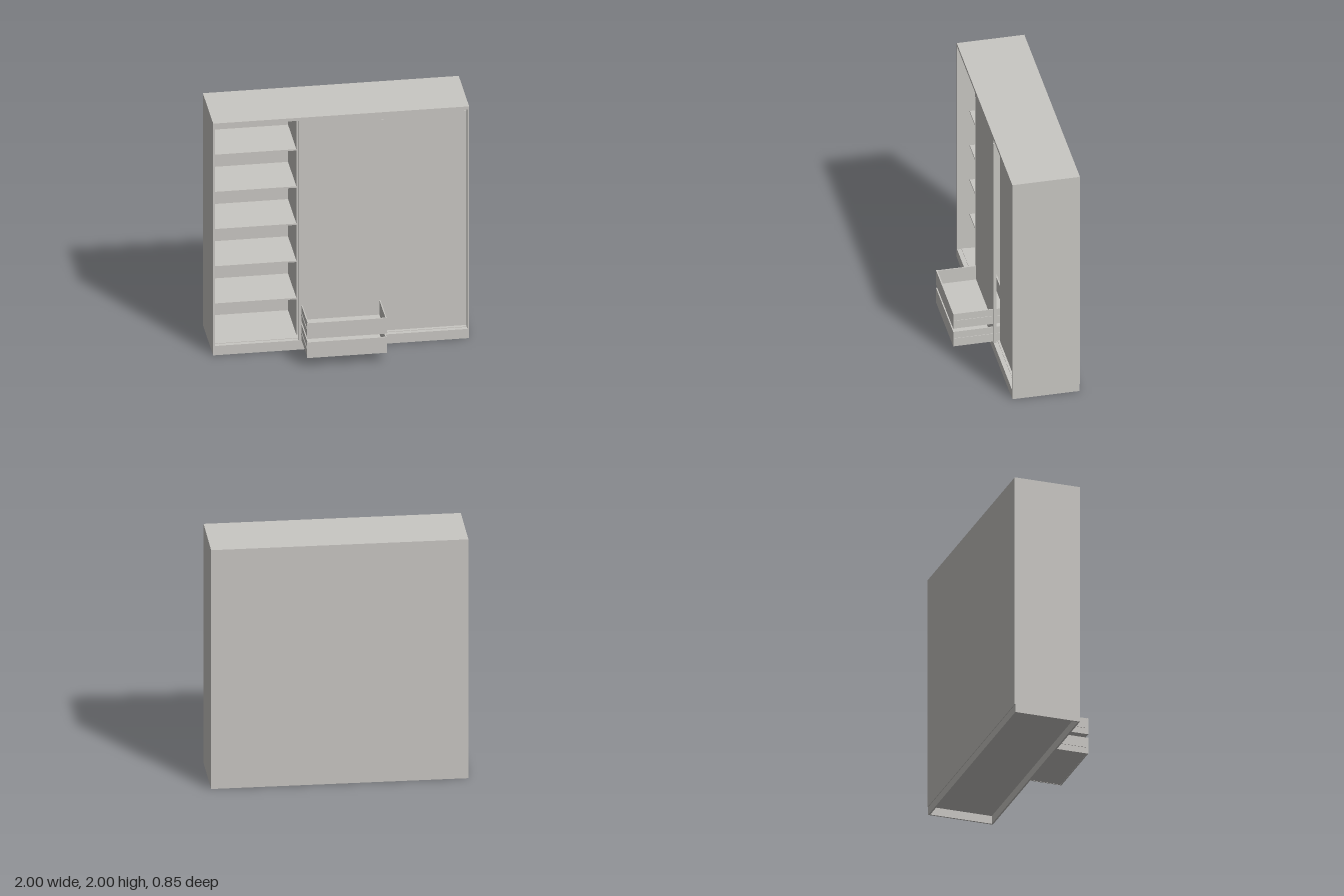
import * as THREE from 'three';

const grey = new THREE.MeshStandardMaterial({ color: 0xc9c7c3 });
grey.name = 'warm grey board';

// Board given by its extents along each axis
function board(parent, name, x0, x1, y0, y1, z0, z1) {
  const mesh = new THREE.Mesh(new THREE.BoxGeometry(x1 - x0, y1 - y0, z1 - z0), grey);
  mesh.position.set((x0 + x1) / 2, (y0 + y1) / 2, (z0 + z1) / 2);
  mesh.name = name;
  parent.add(mesh);
  return mesh;
}

function group(parent, name) {
  const g = new THREE.Group();
  g.name = name;
  parent.add(g);
  return g;
}

// Open drawer box with a front panel and a slide on each side
function addDrawer(parent, name, y0) {
  const d = group(parent, name);
  const y1 = y0 + 0.135, back = -0.02, front = 0.425;
  board(d, 'drawerFront', -0.314, 0.311, y0, y1, front - 0.01, front);
  board(d, 'drawerBottom', -0.302, 0.299, y0 + 0.002, y0 + 0.01, back, front - 0.01);
  board(d, 'drawerBack', -0.302, 0.299, y0 + 0.01, y1, back, back + 0.01);
  for (const [outer, inner, slide] of [[-0.31, -0.302, -0.314], [0.307, 0.299, 0.311]]) {
    board(d, 'drawerSide', Math.min(outer, inner), Math.max(outer, inner), y0, y1, back, front - 0.01);
    board(d, 'drawerSlide', Math.min(outer, slide), Math.max(outer, slide), y0 + 0.05, y0 + 0.075, back, front - 0.01);
  }
}

export function createModel() {
  const wardrobe = new THREE.Group();
  wardrobe.name = 'wardrobe';
  const zB = -0.425, zF = 0.11;

  // Carcass
  const carcass = group(wardrobe, 'carcass');
  board(carcass, 'leftSide', 0.987, 1, 0, 1.975, -0.42, zF);
  board(carcass, 'rightSide', -1, -0.987, 0, 1.975, -0.42, zF);
  board(carcass, 'top', -1, 1, 1.975, 2, zB, zF);
  board(carcass, 'back', -1, 1, 0.066, 1.975, zB, -0.42);
  board(carcass, 'floor', -0.987, 0.987, 0.066, 0.08, -0.42, zF);
  for (const x of [-0.335, 0.317]) {
    board(carcass, 'divider', x, x + 0.013, 0.08, 1.975, -0.42, 0.01);
  }

  // Hollow plinth
  board(carcass, 'frontPlinth', -0.987, 0.987, 0, 0.066, zF - 0.013, zF);
  board(carcass, 'backPlinth', -0.987, 0.987, 0, 0.066, -0.42, -0.407);

  // Shelves of the open bay
  const shelves = group(wardrobe, 'shelves');
  for (let i = 0; i < 5; i++) {
    const y = 0.385 + i * 0.321;
    board(shelves, 'shelf', -0.987, -0.335, y, y + 0.012, -0.42, 0.01);
  }

  // Sliding doors on a two-lane track, with slim edge grips
  const doors = group(wardrobe, 'slidingDoors');
  board(doors, 'bottomTrack', -0.987, 0.987, 0.08, 0.084, 0.03, 0.075);
  board(doors, 'middleDoor', -0.335, 0.33, 0.08, 1.975, 0.09, zF);
  board(doors, 'sideDoor', 0.322, 0.987, 0.09, 1.975, 0.04, 0.06);
  board(doors, 'gripStrip', -0.335, -0.321, 0.08, 1.94, zF, zF + 0.003);
  board(doors, 'gripStrip', 0.315, 0.33, 0.08, 1.94, zF, zF + 0.003);
  board(doors, 'gripStrip', 0.962, 0.985, 0.12, 1.94, 0.06, 0.063);

  // Pulled-out drawers
  addDrawer(wardrobe, 'lowerDrawer', 0.08);
  addDrawer(wardrobe, 'upperDrawer', 0.245);

  return wardrobe;
}
